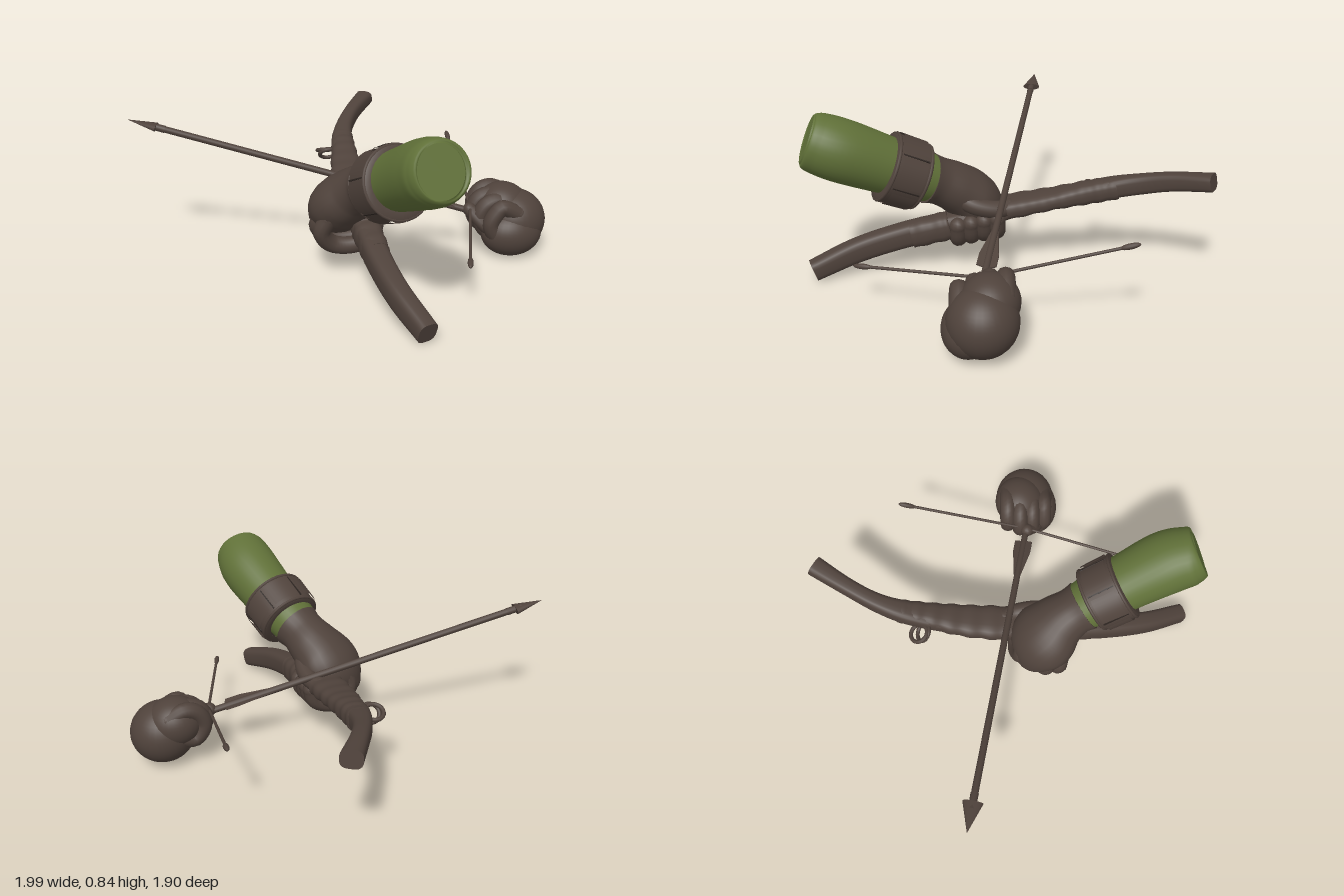
import * as THREE from 'three';

const mat = (name, color) => {
  const m = new THREE.MeshStandardMaterial({ color, side: THREE.DoubleSide });
  m.name = name;
  return m;
};
const V = (a) => new THREE.Vector3(a[0], a[1], a[2]);

// Sweep superelliptic cross-sections through stations [x, y, z, halfWidth, halfHeight]
function loft(stations, { steps = 40, sides = 24, square = 2, ripple = 0, waves = 0 } = {}) {
  const path = new THREE.CatmullRomCurve3(stations.map(V), false, 'catmullrom');
  const size = new THREE.CatmullRomCurve3(stations.map((s) => new THREE.Vector3(s[3], s[4], 0)), false, 'catmullrom');
  const pos = [], idx = [], e = 2 / square;
  const pw = (v) => Math.sign(v) * Math.abs(v) ** e;
  for (let i = 0; i <= steps; i++) {
    const t = i / steps, c = path.getPoint(t), r = size.getPoint(t), T = path.getTangent(t);
    const U = T.clone().cross(new THREE.Vector3(0, 1, 0)).normalize(), W = U.clone().cross(T);
    const k = 1 + ripple * Math.sin(t * waves * Math.PI * 2);
    for (let j = 0; j < sides; j++) {
      const a = (j / sides) * Math.PI * 2;
      const p = c.clone().addScaledVector(U, pw(Math.cos(a)) * r.x * k).addScaledVector(W, pw(Math.sin(a)) * r.y * k);
      pos.push(p.x, p.y, p.z);
      if (i < steps) {
        const p0 = i * sides + j, p1 = i * sides + (j + 1) % sides;
        idx.push(p0, p1, p0 + sides, p1, p1 + sides, p0 + sides);
      }
    }
  }
  // end caps with their own corners so the rims stay sharp
  for (const row of [0, steps]) {
    const start = pos.length / 3, c = path.getPoint(row / steps);
    for (let j = 0; j < sides; j++) pos.push(...pos.slice((row * sides + j) * 3, (row * sides + j) * 3 + 3));
    pos.push(c.x, c.y, c.z);
    for (let j = 0; j < sides; j++) {
      const a = start + j, b = start + (j + 1) % sides;
      idx.push(start + sides, ...(row ? [a, b] : [b, a]));
    }
  }
  const g = new THREE.BufferGeometry();
  g.setAttribute('position', new THREE.Float32BufferAttribute(pos, 3));
  g.setIndex(idx);
  g.computeVertexNormals();
  return g;
}

export function createModel() {
  const root = new THREE.Group();
  const leather = mat('brownLeather', 0x4f423b);
  const seam = mat('darkSeam', 0x2e2622);
  const cloth = mat('greenCloth', 0x607038);

  const add = (parent, name, geo, m = leather, p = [0, 0, 0]) => {
    const mesh = new THREE.Mesh(geo, m);
    mesh.name = name;
    mesh.position.set(...p);
    parent.add(mesh);
    return mesh;
  };
  // round-ended tube for fingers and cords
  const rod = (parent, name, pts, r, straight = false) => {
    const g = new THREE.Group();
    g.name = name;
    const curve = straight ? new THREE.LineCurve3(V(pts[0]), V(pts[1])) : new THREE.CatmullRomCurve3(pts.map(V));
    add(g, name + 'Length', new THREE.TubeGeometry(curve, 24, r, 12));
    for (const p of [pts[0], pts[pts.length - 1]]) add(g, name + 'End', new THREE.SphereGeometry(r, 12, 10), leather, p);
    parent.add(g);
  };
  const blob = (parent, name, p, r) => add(parent, name, new THREE.SphereGeometry(1, 32, 24), leather, p).scale.set(...r);

  // Bow: two flat limbs joined by a thicker grip
  add(root, 'bow', loft([
    [0.30, 0.54, -0.92, 0.048, 0.04], [0.20, 0.505, -0.76, 0.04, 0.044], [0.13, 0.465, -0.62, 0.043, 0.048],
    [0.09, 0.43, -0.48, 0.055, 0.048], [0.07, 0.385, -0.3, 0.065, 0.042], [0.06, 0.34, -0.08, 0.075, 0.04],
    [0.06, 0.28, 0.12, 0.07, 0.05], [0.07, 0.23, 0.32, 0.06, 0.06], [0.08, 0.19, 0.5, 0.055, 0.06],
    [0.118, 0.132, 0.72, 0.05, 0.058], [0.19, 0.062, 0.925, 0.045, 0.05]], { steps: 80, square: 3 }));
  add(root, 'gripWrap', loft([
    [0.098, 0.435, -0.52, 0.054, 0.052], [0.082, 0.405, -0.38, 0.063, 0.052],
    [0.065, 0.365, -0.2, 0.08, 0.045], [0.06, 0.325, 0.0, 0.088, 0.05]],
  { steps: 70, square: 2.6, ripple: 0.035, waves: 6 }));
  add(root, 'lowerGripWrap', loft([
    [0.07, 0.235, 0.28, 0.067, 0.066], [0.08, 0.195, 0.46, 0.06, 0.066]], { square: 2.6, ripple: 0.03, waves: 3 }));
  for (const s of [0, 1]) {
    const loop = add(root, 'sideLoop', new THREE.TorusGeometry(0.044, 0.01, 10, 24), leather, [-0.008 + s * 0.01, 0.4 - s * 0.015, -0.425 + s * 0.02]);
    loop.rotation.x = Math.PI / 2 - 0.4 - s * 0.4;
  }

  // Sleeve and forearm
  add(root, 'sleeve', loft([
    [0.07, 0.475, 0.34, 0.115, 0.11], [0.11, 0.53, 0.45, 0.13, 0.125], [0.16, 0.595, 0.58, 0.138, 0.135],
    [0.21, 0.675, 0.74, 0.15, 0.144], [0.222, 0.717, 0.84, 0.14, 0.138], [0.225, 0.733, 0.88, 0.125, 0.127],
    [0.227, 0.738, 0.892, 0.1, 0.11]], { sides: 32 }), cloth);

  // Bracer with rims, low panels and seams
  const bracer = new THREE.Group();
  bracer.name = 'bracer';
  bracer.position.set(0.125, 0.54, 0.485);
  bracer.quaternion.setFromUnitVectors(new THREE.Vector3(0, 1, 0), new THREE.Vector3(0.26, 0.42, 0.87).normalize());
  root.add(bracer);
  const cuff = [[0.12, -0.09], [0.15, -0.09], [0.157, -0.075], [0.163, 0.075], [0.158, 0.09], [0.125, 0.09]];
  add(bracer, 'cuff', new THREE.LatheGeometry(cuff.map((p) => new THREE.Vector2(...p)), 32));
  for (const s of [-1, 1]) {
    const rim = add(bracer, 'cuffRim', new THREE.TorusGeometry(0.157 + s * 0.004, 0.008, 8, 32), leather, [0, s * 0.08, 0]);
    rim.rotation.x = Math.PI / 2;
  }
  for (let i = 0; i < 6; i++) {
    const a = i / 6 * Math.PI * 2, w = 0.8;
    add(bracer, 'cuffPanel', new THREE.CylinderGeometry(0.171, 0.168, 0.12, 8, 1, true, a - w / 2, w));
    const b = a + Math.PI / 6;
    const line = add(bracer, 'cuffSeam', new THREE.BoxGeometry(0.006, 0.13, 0.008), seam, [Math.sin(b) * 0.159, 0, Math.cos(b) * 0.159]);
    line.rotation.y = b;
  }

  // Hand gripping the bow
  const bowHand = new THREE.Group();
  bowHand.name = 'bowHand';
  root.add(bowHand);
  add(bowHand, 'gloveBack', loft([
    [0.082, 0.488, 0.372, 0.126, 0.122], [0.062, 0.465, 0.325, 0.118, 0.113], [0.03, 0.425, 0.26, 0.138, 0.12],
    [-0.01, 0.37, 0.2, 0.168, 0.13], [-0.035, 0.315, 0.158, 0.165, 0.13], [-0.05, 0.25, 0.13, 0.13, 0.105],
    [-0.05, 0.2, 0.115, 0.07, 0.06]]));
  const knuckles = [-0.085, -0.125, -0.145, -0.135];
  knuckles.forEach((x, i) => {
    const z = 0.05 + i * 0.062, d = -i * 0.012;
    rod(bowHand, 'grippingFinger', [
      [x + 0.03, 0.34 + d, z + 0.03], [x, 0.27 + d, z + 0.02], [x + 0.05, 0.2 + d, z],
      [0.02, 0.188 + d, z], [0.1, 0.225 + d, z], [0.12, 0.29 + d, z]], 0.042);
  });
  rod(bowHand, 'bowHandThumb', [[0.08, 0.41, 0.26], [0.12, 0.36, 0.16], [0.115, 0.335, 0.05], [0.09, 0.335, -0.01]], 0.043);

  // Hand drawing the string
  const drawHand = new THREE.Group();
  drawHand.name = 'drawHand';
  root.add(drawHand);
  blob(drawHand, 'fistBack', [0.845, 0.175, 0.12], [0.155, 0.15, 0.152]);
  blob(drawHand, 'fistKnuckles', [0.79, 0.235, 0.09], [0.135, 0.12, 0.128]);
  blob(drawHand, 'fistHeel', [0.815, 0.128, 0.178], [0.15, 0.117, 0.115]);
  for (let i = 0; i < 4; i++) {
    const z = 0.025 + i * 0.064, x = [0.02, 0, 0.015, 0.05][i], y = -i * 0.014;
    rod(drawHand, 'curledFinger', [
      [0.83, 0.28 + y, z], [0.75, 0.315 + y, z], [0.675 + x, 0.295 + y, z],
      [0.645 + x, 0.23 + y, z], [0.69 + x, 0.16 + y, z], [0.77, 0.17 + y, z]], 0.04);
  }
  rod(drawHand, 'drawHandThumb', [[0.76, 0.1, 0.18], [0.68, 0.17, 0.18], [0.615, 0.24, 0.125]], 0.033);

  // Arrow, built along its own x axis
  const arrow = new THREE.Group();
  arrow.name = 'arrow';
  const dir = new THREE.Vector3(-1.62, 0.46, -0.31).normalize();
  const side = dir.clone().cross(new THREE.Vector3(0, 1, 0)).normalize();
  arrow.quaternion.setFromRotationMatrix(new THREE.Matrix4().makeBasis(dir, side.clone().cross(dir), side));
  arrow.position.set(0.62, 0.23, 0.12);
  root.add(arrow);
  add(arrow, 'shaft', new THREE.CylinderGeometry(0.016, 0.016, 1.6, 12).rotateZ(-Math.PI / 2), leather, [0.8, 0, 0]);
  add(arrow, 'arrowhead', new THREE.ConeGeometry(0.046, 0.14, 12).rotateZ(-Math.PI / 2), leather, [1.637, 0, 0]).scale.y = 0.4;
  add(arrow, 'headSocket', new THREE.CylinderGeometry(0.017, 0.018, 0.05, 12).rotateZ(-Math.PI / 2), leather, [1.55, 0, 0]);
  const vane = new THREE.Shape([[0.08, 0], [0.09, 0.045], [0.16, 0.045], [0.34, 0.012], [0.34, 0]].map((p) => new THREE.Vector2(...p)));
  for (const a of [Math.PI / 2 - 0.2, 0.2 - Math.PI / 2]) {
    add(arrow, 'fletching', new THREE.ExtrudeGeometry(vane, { depth: 0.006, bevelEnabled: false })).rotation.x = a;
  }

  // Drawn string with slender ends
  const nock = [0.62, 0.25, 0.12];
  for (const end of [[0.68, 0.42, -0.49], [0.45, 0.22, 0.65]]) {
    rod(root, 'bowString', [nock, end], 0.007, true);
    const tip = add(root, 'stringEnd', new THREE.SphereGeometry(1, 12, 10), leather, end);
    tip.scale.set(0.013, 0.045, 0.013);
    tip.quaternion.setFromUnitVectors(new THREE.Vector3(0, 1, 0), V(end).sub(V(nock)).normalize());
  }
  return root;
}
